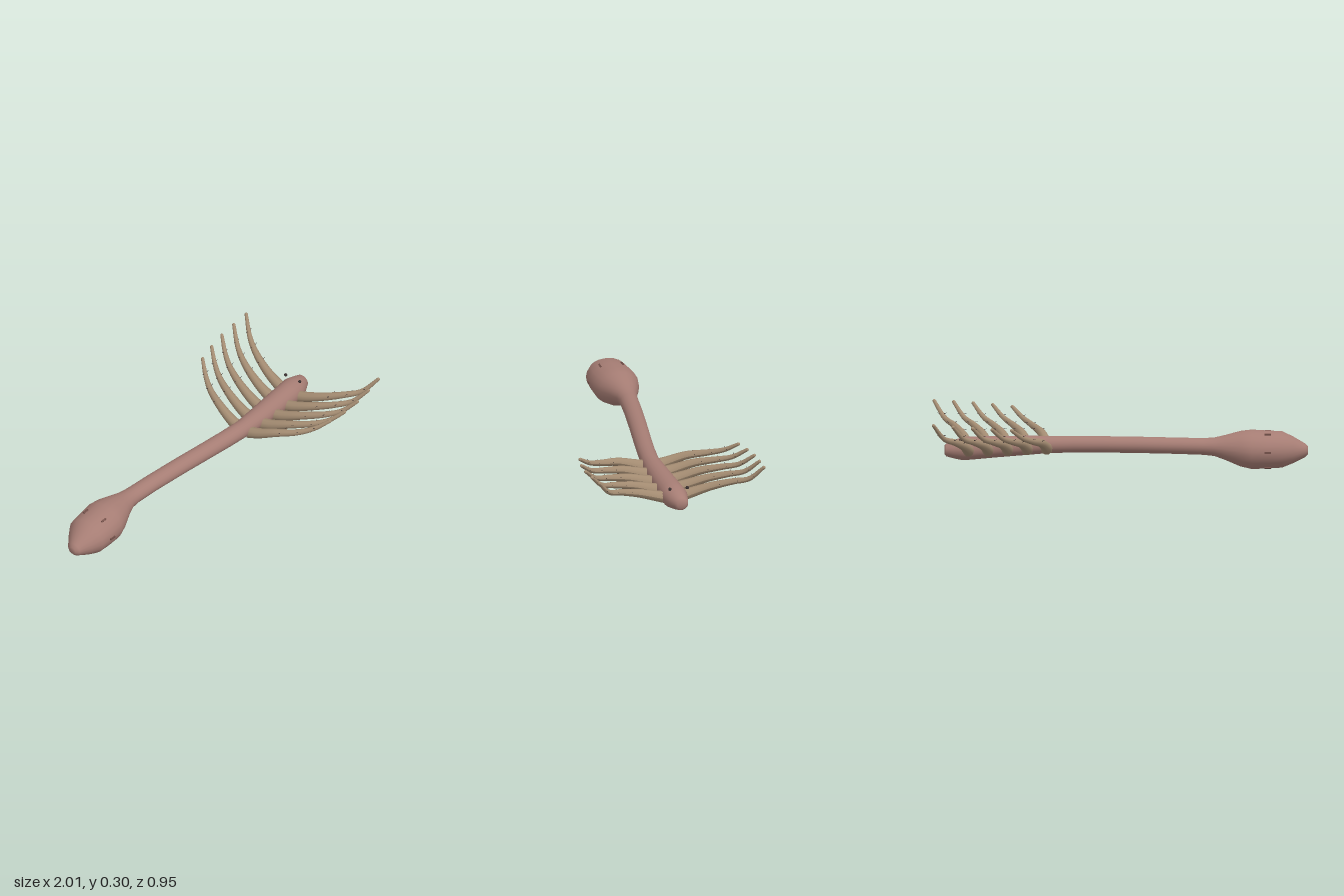
import * as THREE from 'three';

const skin = new THREE.MeshStandardMaterial({ color: 0xa67d74 });
const limb = new THREE.MeshStandardMaterial({ color: 0xa48c72, side: THREE.DoubleSide });
const dark = new THREE.MeshStandardMaterial({ color: 0x3a3030 });
const slitMat = new THREE.MeshStandardMaterial({ color: 0x75524b });

// Body cross-sections: x, centre y, centre z, half height, half width
const SECTIONS = [
  [-1.0, 0.1, -0.05, 0.02, 0.022],
  [-0.985, 0.1, -0.051, 0.036, 0.04],
  [-0.92, 0.104, -0.058, 0.072, 0.082],
  [-0.86, 0.107, -0.065, 0.098, 0.115],
  [-0.78, 0.107, -0.07, 0.102, 0.122],
  [-0.7, 0.109, -0.075, 0.106, 0.124],
  [-0.64, 0.113, -0.08, 0.096, 0.108],
  [-0.56, 0.12, -0.084, 0.068, 0.076],
  [-0.5, 0.124, -0.085, 0.05, 0.056],
  [-0.44, 0.125, -0.082, 0.045, 0.05],
  [-0.3, 0.127, -0.069, 0.044, 0.049],
  [-0.1, 0.128, -0.046, 0.044, 0.049],
  [0.1, 0.127, -0.021, 0.044, 0.049],
  [0.25, 0.125, -0.004, 0.045, 0.049],
  [0.38, 0.122, 0.006, 0.046, 0.049],
  [0.5, 0.118, 0.004, 0.052, 0.056],
  [0.65, 0.112, -0.004, 0.057, 0.063],
  [0.78, 0.106, -0.011, 0.062, 0.068],
  [0.84, 0.103, -0.016, 0.063, 0.069],
  [0.89, 0.1, -0.022, 0.049, 0.054],
  [0.93, 0.098, -0.028, 0.035, 0.038],
  [0.94, 0.098, -0.029, 0.022, 0.024],
];

// Interpolated cross-section at any x
function sectionAt(x) {
  let i = 1;
  while (i < SECTIONS.length - 1 && SECTIONS[i][0] < x) i++;
  const a = SECTIONS[i - 1], b = SECTIONS[i], t = (x - a[0]) / (b[0] - a[0]);
  return a.map((v, k) => v + (b[k] - v) * t);
}

// Closed loft through elliptical rings
function bodyGeometry(sides = 20) {
  const pos = [], idx = [], n = SECTIONS.length;
  for (const [x, y, z, h, w] of SECTIONS) {
    for (let j = 0; j < sides; j++) {
      const a = (j / sides) * Math.PI * 2;
      pos.push(x, y + h * Math.cos(a), z + w * Math.sin(a));
    }
  }
  for (let i = 0; i < n - 1; i++) {
    for (let j = 0; j < sides; j++) {
      const a = i * sides + j, b = i * sides + ((j + 1) % sides);
      idx.push(a, b, a + sides, b, b + sides, a + sides);
    }
  }
  // End caps
  const first = SECTIONS[0], last = SECTIONS[n - 1], c = n * sides;
  pos.push(...first.slice(0, 3), ...last.slice(0, 3));
  for (let j = 0; j < sides; j++) {
    const k = (j + 1) % sides, o = (n - 1) * sides;
    idx.push(c, k, j, c + 1, o + j, o + k);
  }
  const g = new THREE.BufferGeometry();
  g.setAttribute('position', new THREE.Float32BufferAttribute(pos, 3));
  g.setIndex(idx);
  g.computeVertexNormals();
  return g;
}

// Tube whose radius shrinks along its curve
function taperedTube(curve, radiusAt, segments, sides) {
  const g = new THREE.TubeGeometry(curve, segments, 1, sides);
  const p = g.attributes.position, v = new THREE.Vector3();
  for (let i = 0; i < p.count; i++) {
    const u = Math.floor(i / (sides + 1)) / segments;
    const c = curve.getPointAt(u);
    v.fromBufferAttribute(p, i).sub(c).multiplyScalar(radiusAt(u)).add(c);
    p.setXYZ(i, v.x, v.y, v.z);
  }
  g.computeVertexNormals();
  return g;
}

function add(parent, name, geometry, material, position) {
  const m = new THREE.Mesh(geometry, material);
  m.name = name;
  if (position) m.position.copy(position);
  parent.add(m);
  return m;
}

// Curved arm with spine pairs; side is +1 (left-facing z) or -1
function makeArm(index, side) {
  const arm = new THREE.Group();
  arm.name = `${side > 0 ? 'front' : 'back'}Arm${index + 1}`;
  const x = 0.395 + index * 0.104;
  const [, , cz] = sectionAt(x);
  const span = [0.435, 0.455, 0.463, 0.46, 0.452][index];
  const tipY = 0.243 + index * 0.008;
  const baseY = 0.115 - index * 0.003;
  const P = (dx, y, f) => new THREE.Vector3(x + dx, y, cz + side * span * f);
  const curve = new THREE.CatmullRomCurve3([
    P(0.0, baseY - 0.01, 0.07),
    P(0.004, baseY + 0.006, 0.2),
    P(0.028, baseY + 0.042, 0.43),
    P(0.078, 0.183, 0.68),
    P(0.13, 0.212, 0.85),
    P(0.185, tipY + 0.018, 1.0),
  ]);
  const radiusAt = (u) => 0.034 - 0.025 * Math.pow(u, 0.75);
  add(arm, 'armTube', taperedTube(curve, radiusAt, 24, 10), limb);
  add(arm, 'armTip', new THREE.SphereGeometry(radiusAt(1), 10, 8), limb, curve.getPointAt(1));

  // Thin spines on both edges
  const up = new THREE.Vector3(0, 1, 0);
  for (const u of [0.43, 0.63, 0.82]) {
    for (const dir of [-1, 1]) {
      const d = new THREE.Vector3(dir, 0.35, 0).normalize();
      const r = radiusAt(u);
      const at = curve.getPointAt(u).addScaledVector(d, r + 0.006);
      const spine = add(arm, 'spine', new THREE.ConeGeometry(0.003, 0.024, 6), dark, at);
      spine.quaternion.setFromUnitVectors(up, d);
    }
  }
  return arm;
}

export function createModel() {
  const model = new THREE.Group();
  model.name = 'softBodiedCreature';
  add(model, 'body', bodyGeometry(), skin);

  // Five pairs of arms
  for (let i = 0; i < 5; i++) {
    for (const side of [1, -1]) model.add(makeArm(i, side));
  }

  // Eyes on top of the head
  for (const z of [0.015, -0.08]) {
    add(model, 'eye', new THREE.SphereGeometry(0.009, 12, 8), dark, new THREE.Vector3(0.853, 0.157, z));
  }

  // Ring of slits around the bulb
  const [, by, bz, h, w] = sectionAt(-0.78);
  for (let i = 0; i < 6; i++) {
    const a = (i / 6) * Math.PI * 2;
    const slit = add(model, 'slit', new THREE.BoxGeometry(0.036, 0.01, 0.01), slitMat,
      new THREE.Vector3(-0.785, by + h * Math.sin(a), bz + w * Math.cos(a)));
    slit.rotation.x = -a;
  }
  return model;
}
